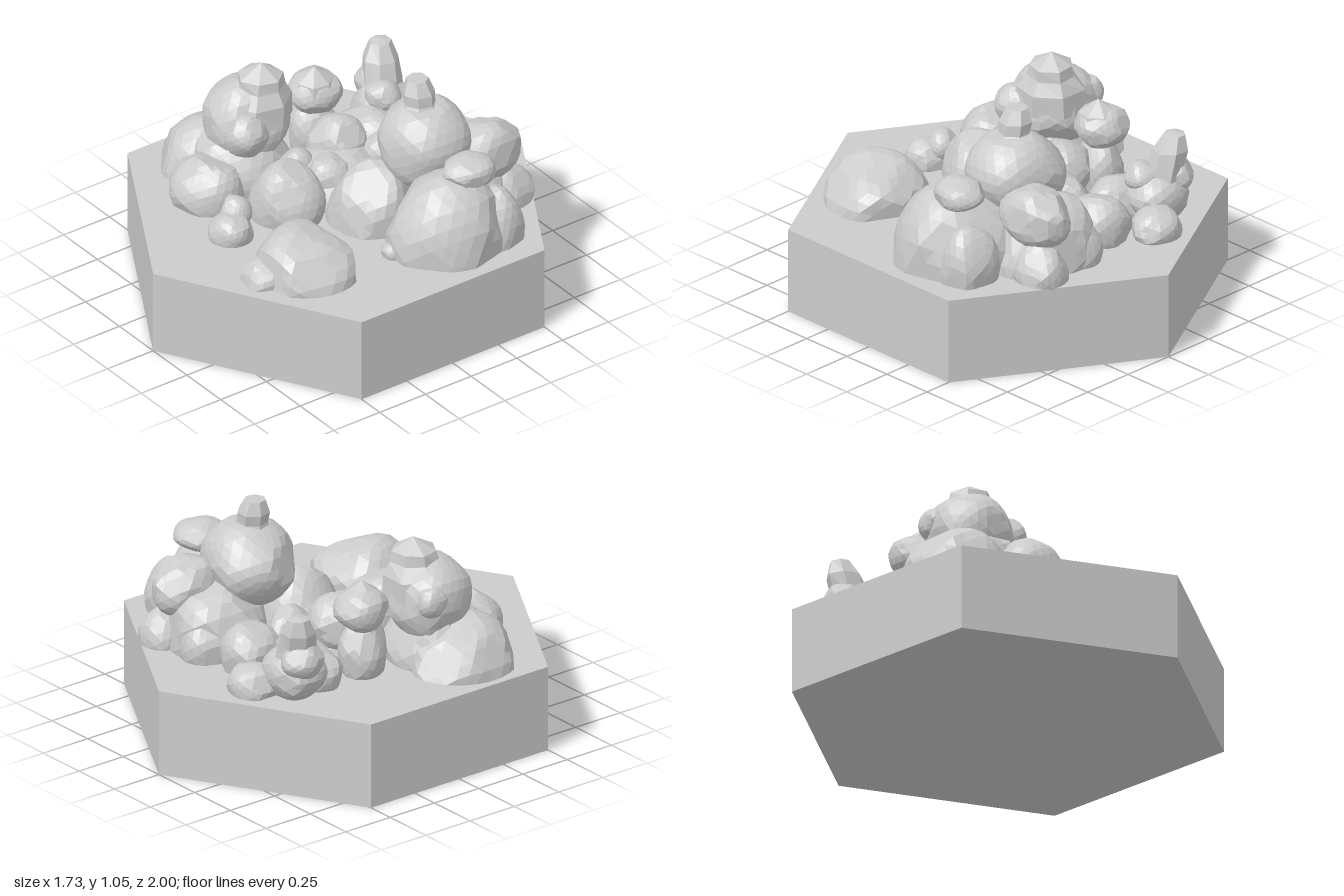
import * as THREE from 'three';

const material = new THREE.MeshStandardMaterial({ color: 0xcccccc, flatShading: true });

function seeded(seed) {
  let s = seed * 7919 + 17;
  return () => (s = (s * 16807) % 2147483647) / 2147483647;
}

// Boulder: a faceted sphere, chipped by random planes and made uneven by soft waves.
function boulder([x, y, z, rx, ry, rz], seed) {
  const rand = seeded(seed + 1);
  for (let i = 0; i < 5; i++) rand();
  const cuts = Array.from({ length: 9 }, () => {
    const h = rand() * 1.6 - 0.6, a = rand() * Math.PI * 2, r = Math.sqrt(1 - h * h);
    return { n: new THREE.Vector3(r * Math.cos(a), h, r * Math.sin(a)), d: 0.88 + rand() * 0.1 };
  });
  const phase = rand() * 6;
  const geo = new THREE.IcosahedronGeometry(1, rx > 0.16 ? 4 : 3);
  const pos = geo.attributes.position, v = new THREE.Vector3();
  for (let i = 0; i < pos.count; i++) {
    v.fromBufferAttribute(pos, i).normalize();
    let r = 1.03 + 0.04 * Math.sin(4 * v.x + phase) * Math.cos(3 * v.z - phase) + 0.03 * Math.sin(5 * v.y + 3 * v.x + phase);
    for (const c of cuts) {
      const k = v.dot(c.n);
      if (k > 0) r = Math.min(r, c.d / k);
    }
    pos.setXYZ(i, v.x * r * rx, v.y * r * ry, v.z * r * rz);
  }
  geo.computeVertexNormals();
  const mesh = new THREE.Mesh(geo, material);
  mesh.position.set(x, y, z);
  return mesh;
}

// Pinnacle: a seven-sided column following [radius, height] pairs, leaning toward its top.
function pinnacle(x, z, profile, leanX, leanZ) {
  const y0 = profile[0][1], height = profile[profile.length - 1][1] - y0;
  const geo = new THREE.LatheGeometry(profile.map(([r, y]) => new THREE.Vector2(r, y)), 7);
  const pos = geo.attributes.position;
  for (let i = 0; i < pos.count; i++) {
    const px = pos.getX(i), y = pos.getY(i), pz = pos.getZ(i), t = (y - y0) / height;
    const wobble = 1 + 0.08 * Math.sin(px * 40 + y * 25) * Math.cos(pz * 30);
    pos.setXYZ(i, x + px * wobble + leanX * t, y, z + pz * wobble + leanZ * t);
  }
  geo.computeVertexNormals();
  return new THREE.Mesh(geo, material);
}

// Boulders as centre x, y, z and radii x, y, z.
const rocks = {
  rightOutcrop: [
    [0.55, 0.42, -0.21, 0.27, 0.32, 0.28],
    [0.25, 0.74, -0.29, 0.22, 0.2, 0.21],
    [0.37, 0.66, -0.54, 0.13, 0.14, 0.18],
    [0.59, 0.76, -0.29, 0.11, 0.07, 0.12],
    [0.2, 0.4, -0.06, 0.21, 0.27, 0.2],
    [0.27, 0.45, -0.48, 0.26, 0.27, 0.22],
    [0.17, 0.45, -0.6, 0.12, 0.15, 0.11],
    [0.42, 0.42, -0.62, 0.11, 0.15, 0.13],
    [0.64, 0.45, -0.4, 0.14, 0.2, 0.12],
  ],
  leftOutcrop: [
    [-0.6, 0.4, 0.23, 0.22, 0.23, 0.25],
    [-0.44, 0.45, 0.2, 0.22, 0.24, 0.22],
    [-0.44, 0.68, 0.17, 0.19, 0.2, 0.19],
    [-0.57, 0.73, 0.08, 0.07, 0.08, 0.07],
    [-0.31, 0.69, 0.26, 0.09, 0.1, 0.1],
    [-0.36, 0.45, 0.44, 0.17, 0.16, 0.16],
  ],
  centreRocks: [
    [-0.05, 0.46, 0.23, 0.17, 0.19, 0.16],
    [-0.1, 0.42, -0.1, 0.22, 0.17, 0.25],
    [-0.19, 0.56, -0.15, 0.13, 0.13, 0.13],
    [-0.05, 0.5, 0.0, 0.1, 0.12, 0.1],
    [-0.19, 0.5, 0.07, 0.08, 0.1, 0.09],
    [-0.05, 0.5, -0.3, 0.09, 0.13, 0.12],
    [-0.4, 0.5, -0.17, 0.1, 0.16, 0.11],
    [-0.4, 0.71, -0.18, 0.12, 0.1, 0.12],
  ],
  backRocks: [
    [-0.05, 0.47, -0.52, 0.13, 0.14, 0.14],
    [-0.25, 0.43, -0.67, 0.12, 0.1, 0.11],
    [-0.3, 0.44, -0.4, 0.18, 0.14, 0.13],
    [-0.38, 0.5, -0.54, 0.14, 0.13, 0.14],
    [-0.33, 0.6, -0.5, 0.08, 0.07, 0.08],
    [-0.46, 0.59, -0.56, 0.09, 0.09, 0.1],
  ],
  frontRocks: [
    [0.37, 0.4, 0.45, 0.23, 0.21, 0.23],
    [0.32, 0.4, 0.62, 0.12, 0.1, 0.12],
    [-0.04, 0.43, 0.54, 0.1, 0.09, 0.1],
    [-0.08, 0.49, 0.49, 0.07, 0.08, 0.07],
    [0.5, 0.42, 0.07, 0.05, 0.04, 0.04],
  ],
};

export function createModel() {
  const model = new THREE.Group();

  // Six-sided base with corners at front and back
  const base = new THREE.Mesh(new THREE.CylinderGeometry(1, 1, 0.4, 6), material);
  base.name = 'hexagonBase';
  base.position.y = 0.2;
  model.add(base);

  // Rock groups
  let seed = 1;
  for (const [name, list] of Object.entries(rocks)) {
    const group = new THREE.Group();
    group.name = name;
    for (const data of list) {
      const rock = boulder(data, seed++);
      rock.name = 'boulder';
      group.add(rock);
    }
    model.add(group);
  }

  // Pointed tops
  const peaks = {
    leftPeak: pinnacle(-0.41, 0.14, [[0.17, 0.7], [0.15, 0.8], [0.11, 0.86], [0.1, 0.91], [0, 0.97]], 0.02, -0.02),
    rightPeak: pinnacle(0.25, -0.28, [[0.1, 0.88], [0.07, 0.94], [0.075, 0.99], [0.05, 1.05], [0, 1.05]], -0.03, 0),
    backPeak: pinnacle(-0.39, -0.54, [[0.11, 0.5], [0.09, 0.62], [0.08, 0.72], [0.05, 0.79], [0, 0.8]], -0.07, -0.04),
    centrePeak: pinnacle(-0.39, -0.17, [[0.11, 0.7], [0.09, 0.78], [0, 0.84]], 0, 0),
  };
  for (const [name, mesh] of Object.entries(peaks)) {
    mesh.name = name;
    model.add(mesh);
  }
  return model;
}
